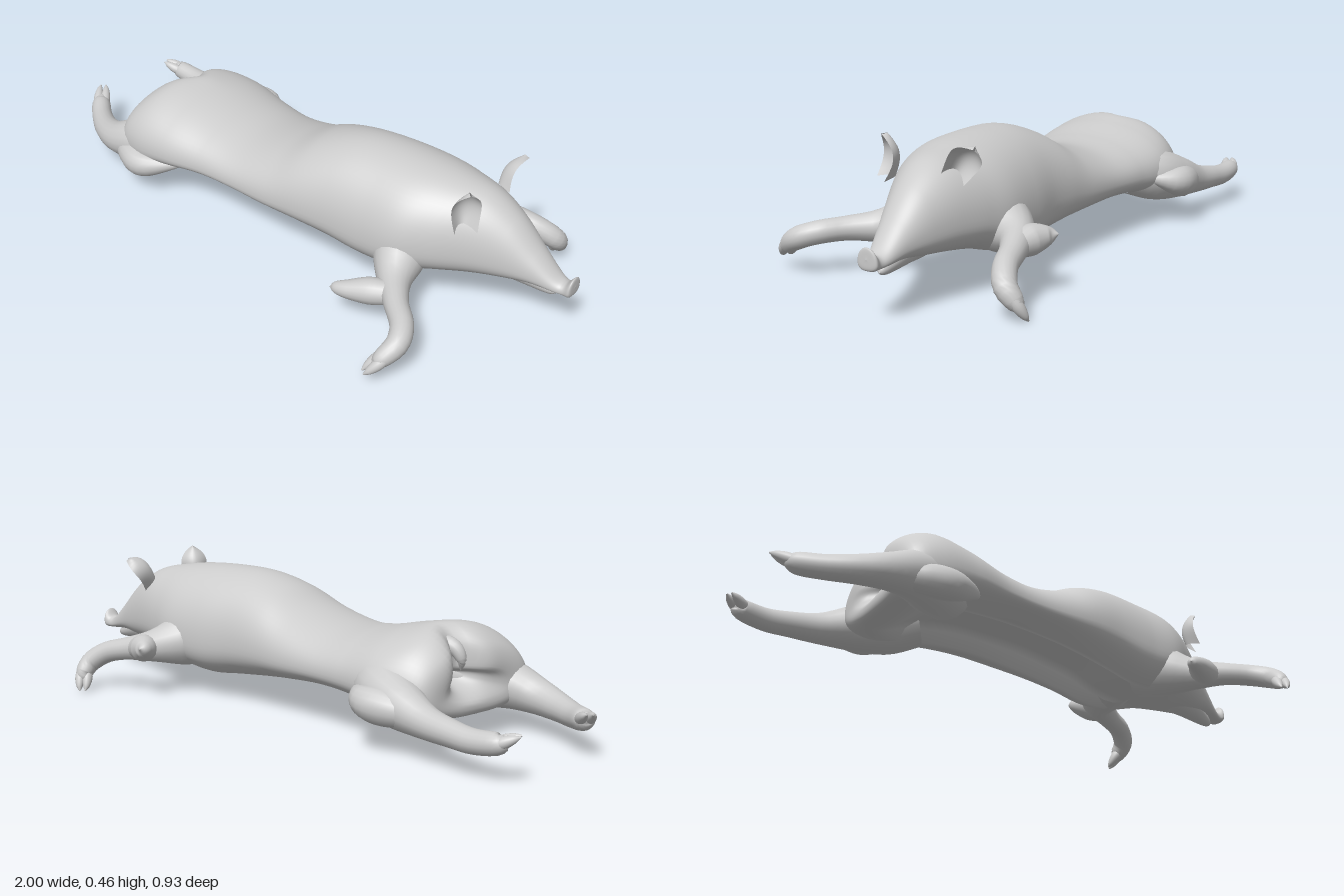
import * as THREE from 'three';
import { ParametricGeometry } from 'three/addons/geometries/ParametricGeometry.js';

const skin = new THREE.MeshStandardMaterial({ color: 0xcccccc });
const thinSkin = new THREE.MeshStandardMaterial({ color: 0xcccccc, side: THREE.DoubleSide });
const { smoothstep } = THREE.MathUtils;
const V = (x, y, z) => new THREE.Vector3(x, y, z);
const power = (n, e) => Math.sign(n) * Math.abs(n) ** e;
const curve = points => new THREE.CatmullRomCurve3(points, false, 'catmullrom');

function surface(name, f, across, along, material = skin) {
  const mesh = new THREE.Mesh(new ParametricGeometry(f, across, along), material);
  mesh.name = name;
  return mesh;
}

// Body stations: x, belly y, back y, centre z, half width, depth of the belly cut
const STATIONS = [
  [-0.60, 0.19, 0.21, -0.07, 0.02, 0],
  [-0.635, 0.13, 0.23, -0.06, 0.14, 0],
  [-0.62, 0.09, 0.30, -0.05, 0.22, 0],
  [-0.54, 0.075, 0.354, -0.05, 0.255, 0.02],
  [-0.42, 0.095, 0.343, -0.06, 0.26, 0.06],
  [-0.28, 0.115, 0.315, -0.06, 0.235, 0.07],
  [-0.15, 0.12, 0.308, -0.055, 0.222, 0.07],
  [0, 0.11, 0.345, -0.05, 0.218, 0.08],
  [0.12, 0.098, 0.40, -0.05, 0.212, 0.08],
  [0.24, 0.085, 0.432, -0.055, 0.205, 0.08],
  [0.37, 0.075, 0.439, -0.065, 0.208, 0.06],
  [0.5, 0.095, 0.434, -0.07, 0.205, 0.03],
  [0.6, 0.125, 0.422, -0.08, 0.172, 0],
  [0.7, 0.14, 0.40, -0.095, 0.128, 0],
  [0.79, 0.15, 0.345, -0.105, 0.09, 0],
  [0.87, 0.16, 0.268, -0.11, 0.06, 0],
  [0.94, 0.157, 0.202, -0.115, 0.038, 0],
  [0.97, 0.155, 0.195, -0.117, 0.03, 0],
  [0.993, 0.157, 0.22, -0.117, 0.031, 0],
  [0.997, 0.187, 0.189, -0.117, 0.001, 0],
];

function body() {
  const heights = curve(STATIONS.map(s => V(s[0], s[1], s[2])));
  const widths = curve(STATIONS.map(s => V(s[3], s[4], s[5])));
  const h = V(), w = V();
  return surface('body', (u, v, target) => {
    heights.getPoint(v, h);
    widths.getPoint(v, w);
    const a = -u * Math.PI * 2, c = Math.cos(a), s = Math.sin(a);
    const mid = h.y + (h.z - h.y) * 0.36;
    const across = power(c, s > 0 ? 1 : 0.75);
    const z = w.x + w.y * across;
    let y = s > 0 ? mid + (h.z - mid) * power(s, 0.95) : mid + (mid - h.y) * power(s, 0.8);
    // Open cut along the belly, its left lip a little higher
    if (s < 0) y += w.z * (smoothstep(0.55 - Math.abs(across), 0, 0.22) + 0.4 * Math.max(across, 0) * -s);
    // Slanted rump with a cleft under the tail
    const rump = 1 - smoothstep(v, 0.06, 0.24);
    const cleft = 0.075 * Math.exp(-(((z + 0.09) / 0.05) ** 2)) * smoothstep(y, 0.12, 0.22);
    target.set(h.x + rump * (cleft - 0.16 * (z + 0.05)), y, z);
  }, 60, 110);
}

// Smooth limb through points [x, y, z, radius]
function limb(name, pts, along = 28) {
  const path = curve(pts.map(p => V(p[0], p[1], p[2])));
  const radii = curve(pts.map(p => V(p[3], 0, 0)));
  const up = V(0, 1, 0.01);
  return surface(name, (u, v, target) => {
    const t = path.getTangent(v);
    const n = up.clone().addScaledVector(t, -up.dot(t)).normalize();
    const r = Math.max(0.001, radii.getPoint(v).x), a = u * Math.PI * 2;
    path.getPoint(v, target);
    target.addScaledVector(n, Math.cos(a) * r).addScaledVector(t.cross(n), Math.sin(a) * r);
  }, 18, along);
}

// Leg with a cloven hoof whose toes reach towards tip
function leg(name, pts, tip) {
  const group = new THREE.Group();
  group.name = name;
  const p = V(...pts[pts.length - 1].slice(0, 3)), dir = V(...tip).sub(p);
  const side = V(-dir.z, 0, dir.x).normalize();
  const point = (t, off, r) => [...p.clone().addScaledVector(dir, t).addScaledVector(side, off).toArray(), r];
  group.add(limb(name + 'Flesh', [...pts, point(0.35, 0, 0.018), point(0.5, 0, 0.002)]));
  for (const k of [-1, 1]) {
    group.add(limb('toe', [point(-0.3, k * 0.008, 0.016), point(0.25, k * 0.012, 0.018),
      point(0.7, k * 0.012, 0.012), point(1, k * 0.009, 0.002)], 10));
  }
  return group;
}

// Cupped broad ear from root to tip, opening towards facing
function ear(name, root, tip, facing, width, cup) {
  const base = V(...root), axis = V(...tip).sub(base);
  const side = V(...facing).cross(axis).normalize();
  const front = axis.clone().cross(side).normalize();
  return surface(name, (u, v, target) => {
    const s = u * 2 - 1;
    const half = width * (0.6 + 0.55 * v) * (1 - v ** 3.5) + 0.003;
    target.copy(base).addScaledVector(axis, v).addScaledVector(side, s * half)
      .addScaledVector(front, cup * (s * s * (1 - v * 0.6) - Math.sin(v * Math.PI) * 0.5));
  }, 12, 14, thinSkin);
}

export function createModel() {
  const model = new THREE.Group();
  model.name = 'lyingPig';
  model.add(body());

  // Lower jaw, leaving the mouth slightly open
  model.add(limb('lowerJaw', [[0.66, 0.2, -0.09, 0.04], [0.74, 0.19, -0.1, 0.055], [0.82, 0.174, -0.107, 0.043],
    [0.9, 0.15, -0.113, 0.024], [0.93, 0.141, -0.115, 0.013], [0.94, 0.138, -0.115, 0.002]]));

  // Ears
  model.add(ear('leftEar', [0.675, 0.34, 0.022], [0.698, 0.465, 0.03], [0.8, 0, 0.6], 0.054, 0.045));
  model.add(ear('rightEar', [0.665, 0.375, -0.18], [0.698, 0.453, -0.264], [0.8, 0, -0.6], 0.055, 0.04));

  // Front legs, flaring out of the shoulders and bent down at the hooves
  model.add(leg('leftFrontLeg', [[0.47, 0.2, 0, 0.1], [0.505, 0.165, 0.09, 0.082], [0.55, 0.145, 0.17, 0.052],
    [0.615, 0.142, 0.245, 0.038], [0.682, 0.136, 0.305, 0.036], [0.71, 0.118, 0.36, 0.035], [0.697, 0.09, 0.408, 0.029]],
    [0.66, 0.042, 0.455]));
  model.add(leg('rightFrontLeg', [[0.45, 0.2, -0.14, 0.1], [0.49, 0.185, -0.23, 0.085], [0.545, 0.17, -0.3, 0.055],
    [0.63, 0.155, -0.34, 0.039], [0.71, 0.135, -0.365, 0.036], [0.76, 0.1, -0.395, 0.035], [0.765, 0.065, -0.425, 0.029]],
    [0.74, 0.008, -0.455]));

  // Elbows folded back behind the front legs
  model.add(limb('leftElbow', [[0.58, 0.14, 0.21, 0.035], [0.51, 0.128, 0.235, 0.042], [0.45, 0.12, 0.265, 0.03],
    [0.41, 0.116, 0.28, 0.018], [0.395, 0.115, 0.287, 0.001]], 18));
  model.add(limb('rightElbow', [[0.6, 0.16, -0.33, 0.035], [0.54, 0.17, -0.345, 0.046], [0.5, 0.178, -0.38, 0.028],
    [0.49, 0.183, -0.406, 0.002]], 16));

  // Hind legs, flaring out of the haunches and stretched out behind
  model.add(leg('leftHindLeg', [[-0.44, 0.18, 0.05, 0.09], [-0.53, 0.16, 0.1, 0.092], [-0.62, 0.145, 0.13, 0.076],
    [-0.71, 0.122, 0.14, 0.057], [-0.8, 0.108, 0.115, 0.044], [-0.88, 0.105, 0.07, 0.037], [-0.94, 0.115, 0.022, 0.033]],
    [-0.994, 0.15, -0.04]));
  model.add(leg('rightHindLeg', [[-0.36, 0.19, -0.2, 0.08], [-0.44, 0.17, -0.26, 0.09], [-0.53, 0.15, -0.3, 0.075],
    [-0.64, 0.125, -0.328, 0.05], [-0.74, 0.115, -0.345, 0.04], [-0.82, 0.11, -0.355, 0.036], [-0.9, 0.118, -0.355, 0.032]],
    [-0.96, 0.145, -0.33]));

  // Knee bulges in front of the hind legs
  model.add(limb('leftKnee', [[-0.68, 0.12, 0.14, 0.035], [-0.59, 0.118, 0.18, 0.05], [-0.52, 0.118, 0.195, 0.046],
    [-0.42, 0.14, 0.16, 0.02], [-0.38, 0.145, 0.13, 0.002]], 18));
  model.add(limb('rightKnee', [[-0.6, 0.135, -0.32, 0.04], [-0.5, 0.145, -0.34, 0.055], [-0.43, 0.155, -0.345, 0.046],
    [-0.36, 0.17, -0.29, 0.016], [-0.33, 0.17, -0.26, 0.002]], 18));

  // Tail stub tucked into the cleft
  model.add(limb('tail', [[-0.5, 0.3, -0.095, 0.03], [-0.56, 0.29, -0.09, 0.024], [-0.585, 0.255, -0.085, 0.016],
    [-0.58, 0.22, -0.08, 0.002]], 14));

  return model;
}
